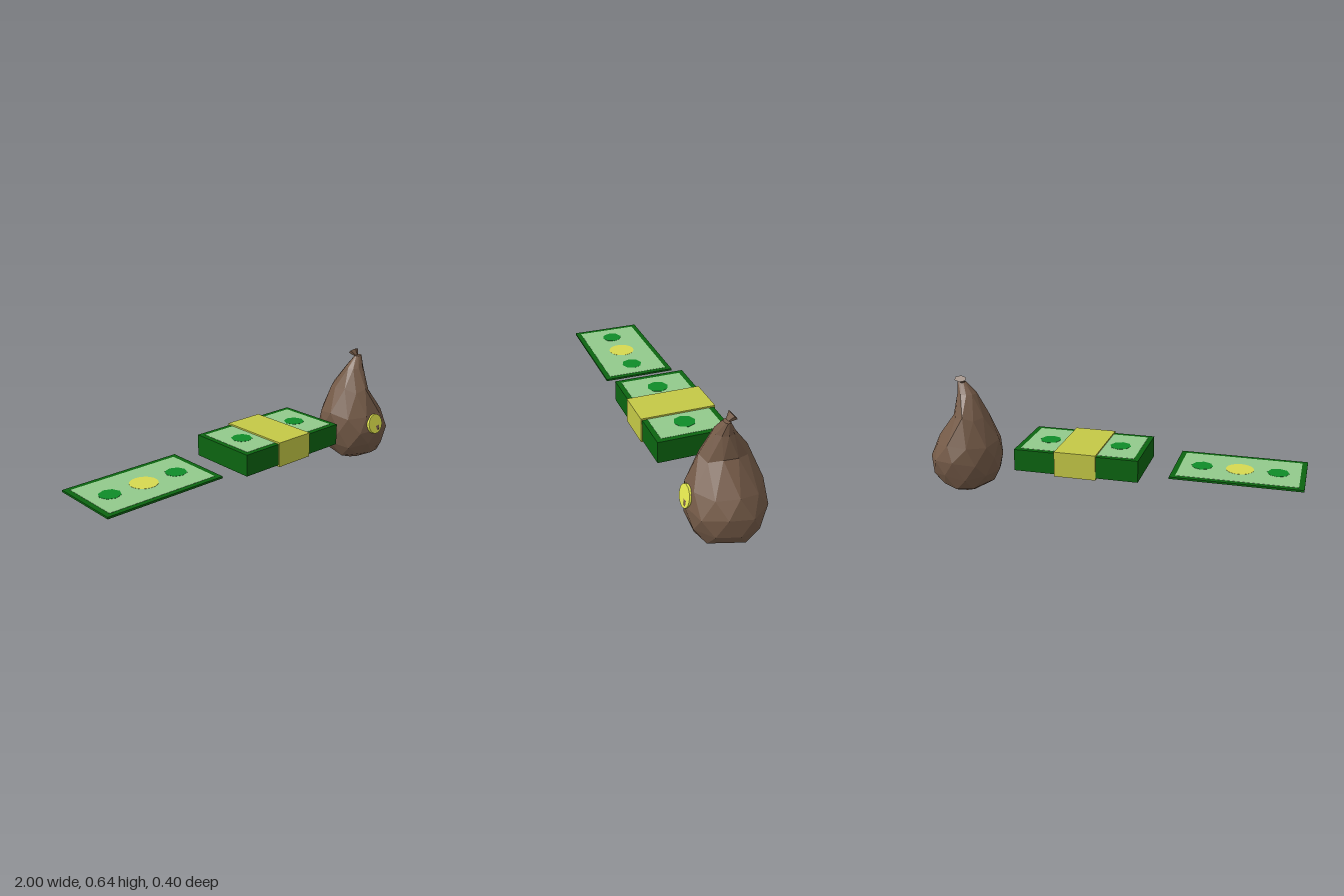
import * as THREE from 'three';

const mat = (color, extra = {}) => {
  const m = new THREE.MeshStandardMaterial({ color });
  return Object.assign(m, extra);
};

export function createModel() {
  const root = new THREE.Group();
  const darkGreen = mat(0x0b6410), paleGreen = mat(0x92c98c), midGreen = mat(0x0f8c28);
  const yellow = mat(0xd6d850), bandYellow = mat(0xc4c846), emblemYellow = mat(0xe6ea50);
  const brown = mat(0x755b48, { flatShading: true, side: THREE.DoubleSide });

  const add = (parent, name, geometry, material, x, y, z) => {
    const mesh = new THREE.Mesh(geometry, material);
    mesh.name = name;
    mesh.position.set(x, y, z);
    parent.add(mesh);
    return mesh;
  };

  // Banknote block: dark body with a printed panel and spots on both faces
  const makeNotes = (name, x, y, height, withCentre) => {
    const g = new THREE.Group();
    g.name = name;
    g.position.set(x, y, 0);
    add(g, 'paperBody', new THREE.BoxGeometry(0.652, height, 0.38), darkGreen, 0, 0, 0);
    for (const s of [-1, 1]) {
      const face = s * height / 2;
      add(g, 'printedPanel', new THREE.BoxGeometry(0.598, 0.002, 0.326), paleGreen, 0, face, 0);
      for (const side of [-1, 1])
        add(g, 'spot', new THREE.CylinderGeometry(0.055, 0.055, 0.002, 8), midGreen, side * 0.19, face + s * 0.001, 0);
      if (withCentre)
        add(g, 'centreSpot', new THREE.CylinderGeometry(0.07, 0.07, 0.002, 28), yellow, 0, face + s * 0.001, 0);
    }
    root.add(g);
    return g;
  };
  makeNotes('singleNote', -0.674, 0.25, 0.01, true);
  const stack = makeNotes('noteStack', 0.134, 0.264, 0.114, false);
  add(stack, 'paperBand', new THREE.BoxGeometry(0.218, 0.132, 0.394), bandYellow, 0, 0, 0);

  // Sack: staggered faceted rings given as [y, xMin, xMax, zMin, zMax]
  const sack = new THREE.Group();
  sack.name = 'sack';
  root.add(sack);
  const rings = [
    [0.004, 0.75, 0.88, -0.06, 0.06],
    [0.048, 0.672, 0.955, -0.148, 0.146],
    [0.115, 0.627, 0.995, -0.178, 0.18],
    [0.2, 0.618, 1.002, -0.194, 0.196],
    [0.285, 0.62, 0.965, -0.173, 0.172],
    [0.425, 0.685, 0.862, -0.115, 0.116],
    [0.54, 0.743, 0.847, -0.04, 0.058],
    [0.602, 0.798, 0.846, -0.004, 0.026],
  ];
  const sides = 10, points = [], index = [];
  rings.forEach(([y, x0, x1, z0, z1], i) => {
    for (let j = 0; j < sides; j++) {
      const a = (j + i / 2) / sides * Math.PI * 2;
      const wobble = i > 0 && i < 6 ? 0.012 * Math.sin(j * 2.4 + i * 1.7) : 0;
      points.push((x0 + x1) / 2 + Math.cos(a) * (x1 - x0) / 2 * 1.01,
        y + wobble,
        (z0 + z1) / 2 + Math.sin(a) * (z1 - z0) / 2 * 1.01);
      if (i < rings.length - 1) {
        const k = i * sides + j, kn = i * sides + (j + 1) % sides;
        index.push(k, k + sides, kn, kn, k + sides, kn + sides);
      }
    }
  });
  // Close the bottom and the gathered top
  const bottom = points.length / 3, top = bottom + 1, last = (rings.length - 1) * sides;
  points.push(0.815, 0, 0, 0.82, 0.604, 0.008);
  for (let j = 0; j < sides; j++) {
    const n = (j + 1) % sides;
    index.push(bottom, j, n, top, last + n, last + j);
  }
  const sackGeo = new THREE.BufferGeometry();
  sackGeo.setAttribute('position', new THREE.Float32BufferAttribute(points, 3));
  sackGeo.setIndex(index);
  sackGeo.computeVertexNormals();
  add(sack, 'sackBody', sackGeo, brown, 0, 0, 0);

  // Flared gather leaning backwards above the neck
  const tuft = add(sack, 'gatheredTop', new THREE.CylinderGeometry(0.02, 0.008, 0.034, 6), brown, 0.815, 0.612, -0.008);
  tuft.rotation.x = -0.8;
  tuft.scale.x = 1.75;

  // Round emblem following the slope of the sack front
  const emblem = add(sack, 'roundEmblem', new THREE.CylinderGeometry(0.055, 0.055, 0.016, 24), emblemYellow, 0.792, 0.24, 0.18);
  emblem.rotation.x = Math.PI / 2 - 0.2;

  return root;
}
